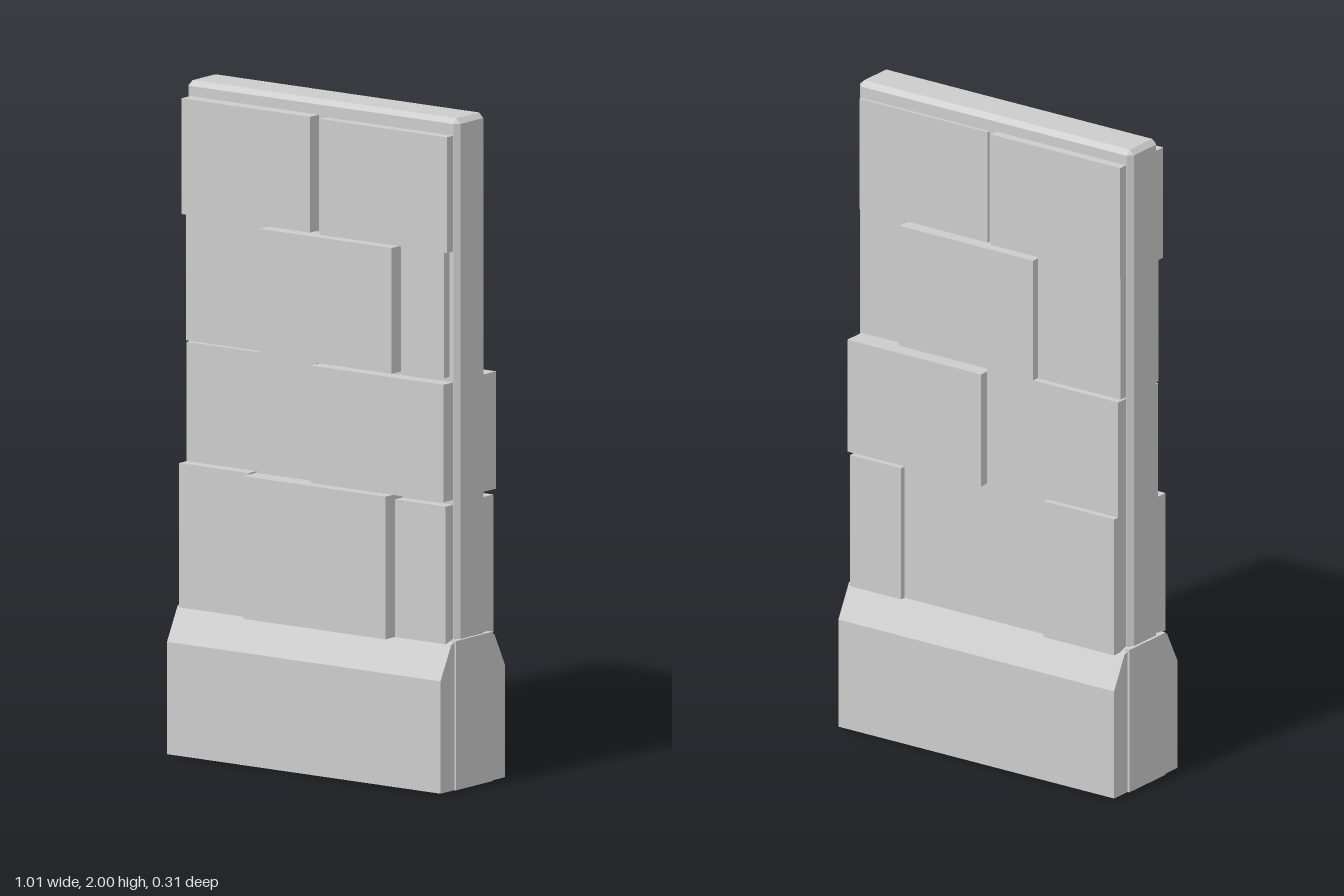
import * as THREE from 'three';
import { ConvexGeometry } from 'three/addons/geometries/ConvexGeometry.js';

const material = new THREE.MeshStandardMaterial({ color: 0xcccccc, flatShading: true });

function add(group, name, geometry) {
  const mesh = new THREE.Mesh(geometry, material);
  mesh.name = name;
  group.add(mesh);
  return mesh;
}

// Box with every edge cut at 45 degrees, given by half sizes and bevel
function chamferBox(hx, hy, hz, b) {
  const points = [];
  for (const sx of [-1, 1]) for (const sy of [-1, 1]) for (const sz of [-1, 1]) {
    points.push(
      new THREE.Vector3(sx * hx, sy * (hy - b), sz * (hz - b)),
      new THREE.Vector3(sx * (hx - b), sy * hy, sz * (hz - b)),
      new THREE.Vector3(sx * (hx - b), sy * (hy - b), sz * hz));
  }
  return new ConvexGeometry(points);
}

// Stone slabs: x0, x1, y0, y1, distance of the face from the centre plane
const frontSlabs = [
  [-0.48, -0.01, 1.61, 1.955, 0.113], [0.015, 0.48, 1.605, 1.95, 0.1],
  [-0.48, -0.19, 1.23, 1.61, 0.09], [-0.18, 0.305, 1.23, 1.605, 0.135], [0.312, 0.468, 1.23, 1.605, 0.098],
  [-0.48, -0.005, 0.865, 1.225, 0.088], [-0.005, 0.48, 0.865, 1.215, 0.116],
  [-0.48, -0.225, 0.44, 0.87, 0.125], [-0.225, 0.295, 0.44, 0.865, 0.152], [0.295, 0.48, 0.44, 0.85, 0.106],
];
const backSlabs = [
  [-0.48, -0.01, 1.61, 1.955, 0.1], [0.015, 0.48, 1.605, 1.95, 0.08],
  [-0.48, -0.18, 1.23, 1.61, 0.098], [-0.18, 0.305, 1.23, 1.605, 0.122], [0.312, 0.468, 1.23, 1.605, 0.08],
  [-0.48, -0.005, 0.865, 1.225, 0.11], [-0.005, 0.48, 0.865, 1.215, 0.14],
  [-0.48, -0.225, 0.44, 0.865, 0.13], [-0.225, 0.295, 0.44, 0.865, 0.11], [0.295, 0.48, 0.44, 0.85, 0.127],
];

function slabFace(name, slabs, side) {
  const face = new THREE.Group();
  face.name = name;
  const inner = 0.05;
  for (const [x0, x1, y0, y1, z] of slabs) {
    const slab = add(face, 'stoneSlab', new THREE.BoxGeometry(x1 - x0, y1 - y0, z - inner));
    slab.position.set((x0 + x1) / 2, (y0 + y1) / 2, side * (z + inner) / 2);
  }
  return face;
}

export function createModel() {
  const wall = new THREE.Group();
  wall.name = 'stoneWall';

  // Bevelled core panel
  add(wall, 'corePanel', chamferBox(0.497, 1, 0.07, 0.015)).position.y = 1;

  // Layered slabs on both faces
  wall.add(slabFace('frontSlabs', frontSlabs, 1), slabFace('backSlabs', backSlabs, -1));

  // Sloped plinth, one half on each face
  const profile = new THREE.Shape([
    [0.07, 0.005], [0.157, 0.005], [0.157, 0.34], [0.105, 0.44], [0.07, 0.45],
  ].map(([z, y]) => new THREE.Vector2(z, y)));
  const plinth = new THREE.ExtrudeGeometry(profile, { depth: 1, bevelEnabled: false });
  plinth.rotateY(-Math.PI / 2).translate(0.5, 0, 0);
  add(wall, 'frontPlinth', plinth);
  add(wall, 'backPlinth', plinth).rotation.y = Math.PI;

  // Thin plates closing the ends of the plinth
  for (const side of [-1, 1]) {
    add(wall, side > 0 ? 'leftPlinthPlate' : 'rightPlinthPlate', new THREE.BoxGeometry(0.017, 0.445, 0.18))
      .position.set(side * 0.4975, 0.2275, 0);
  }
  return wall;
}
